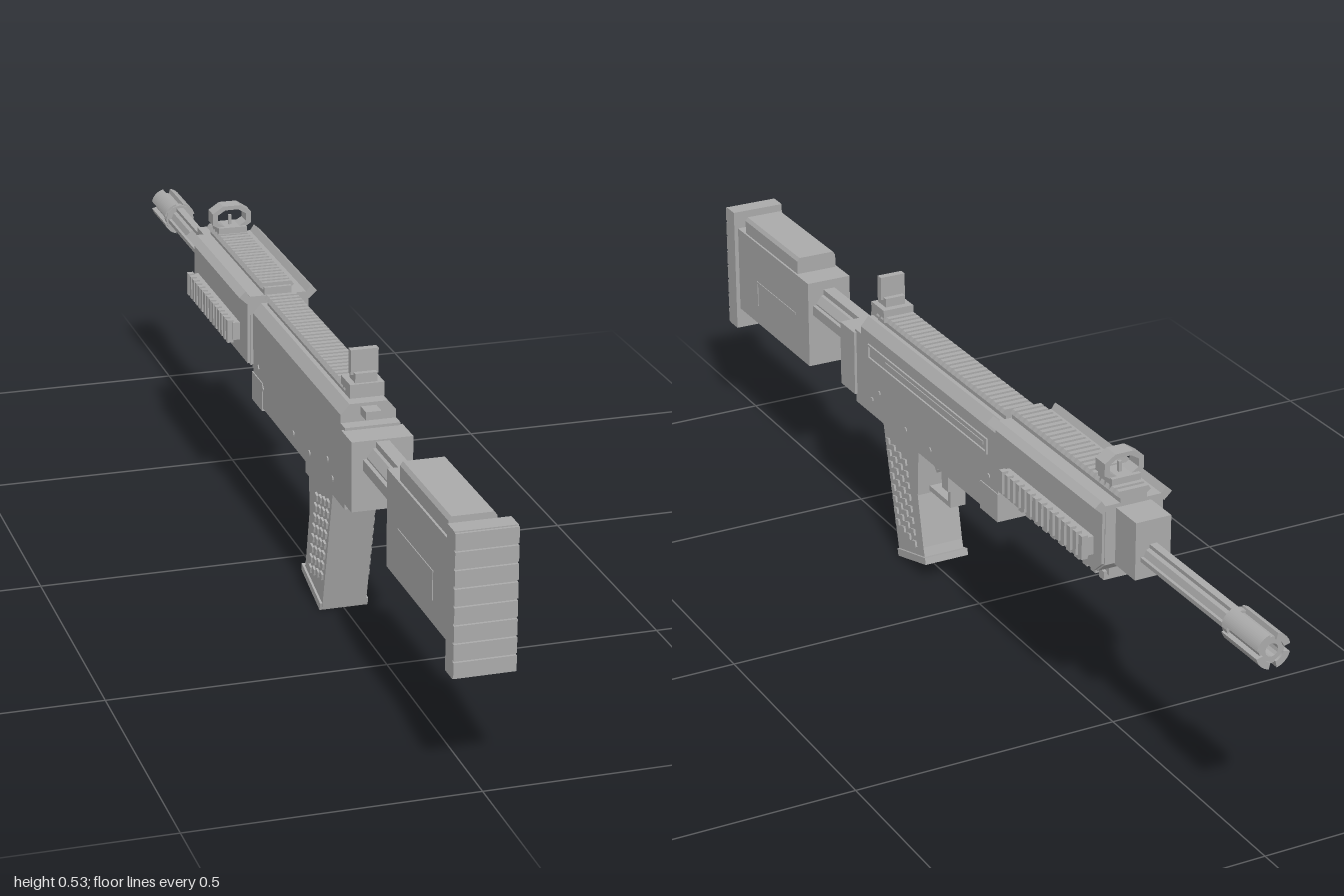
import * as THREE from 'three';
import { toCreasedNormals } from 'three/addons/utils/BufferGeometryUtils.js';

export function createModel() {
  const root = new THREE.Group();
  const grey = new THREE.MeshStandardMaterial({ color: 0xaaaaaa });
  grey.name = 'gunmetal grey';

  const add = (name, geo, parent = root) => {
    const m = new THREE.Mesh(geo, grey);
    m.name = name;
    parent.add(m);
    return m;
  };
  const group = (name) => {
    const g = new THREE.Group();
    g.name = name;
    root.add(g);
    return g;
  };
  // Box given by its limits on each axis
  const box = (name, x0, x1, y0, y1, z0, z1, parent) => add(name,
    new THREE.BoxGeometry(x1 - x0, y1 - y0, z1 - z0)
      .translate((x0 + x1) / 2, (y0 + y1) / 2, (z0 + z1) / 2), parent);
  const slab = (name, w, y0, y1, z0, z1, parent) => box(name, -w, w, y0, y1, z0, z1, parent);
  const shapeOf = (pts) => new THREE.Shape(pts.map(p => new THREE.Vector2(...p)));
  // Cross-section in (x, y) swept along z
  const sweepZ = (name, shape, z0, z1, parent) => add(name,
    new THREE.ExtrudeGeometry(shape, { depth: z1 - z0, bevelEnabled: false, curveSegments: 6 })
      .translate(0, 0, z0), parent);
  // Side profile in (z, y) swept across x
  const sweepX = (name, pts, w, parent) => add(name,
    new THREE.ExtrudeGeometry(shapeOf(pts), { depth: 2 * w, bevelEnabled: false })
      .translate(0, 0, -w).rotateY(-Math.PI / 2), parent);
  const rod = (name, r, y, z0, z1, sides, parent) => add(name,
    toCreasedNormals(new THREE.CylinderGeometry(r, r, z1 - z0, sides)
      .rotateX(Math.PI / 2).translate(0, y, (z0 + z1) / 2), 0.3), parent);
  const sides = [-1, 1];

  // Shoulder stock
  const stock = group('stock');
  slab('stockBody', 0.045, 0.245, 0.42, 0.63, 0.965, stock);
  sweepZ('cheekRest', shapeOf([[-0.041, 0.419], [0.041, 0.419], [0.041, 0.446], [0.036, 0.453],
    [-0.036, 0.453], [-0.041, 0.446]]), 0.685, 0.93, stock);
  slab('buttPlate', 0.053, 0.203, 0.455, 0.96, 0.995, stock);
  for (let i = 0; i < 8; i++) {
    const y = 0.203 + i * 0.0315;
    slab('buttRib', 0.053, y + 0.002, y + 0.0295, 0.994, 1, stock);
  }
  for (const s of sides) {
    box('stockSeam', s * 0.0455 - 0.001, s * 0.0455 + 0.001, 0.333, 0.337, 0.69, 0.87, stock);
    box('stockSeamEnd', s * 0.0455 - 0.001, s * 0.0455 + 0.001, 0.285, 0.337, 0.868, 0.872, stock);
  }

  // Ribbed tube between stock and receiver
  const tube = group('bufferTube');
  rod('tubeCore', 0.029, 0.366, 0.45, 0.65, 10, tube);
  slab('tubeLowerRib', 0.016, 0.335, 0.35, 0.45, 0.65, tube);
  slab('tubeUpperRib', 0.012, 0.385, 0.402, 0.45, 0.65, tube);
  for (const s of sides) box('tubeSideRib', s * 0.028 - 0.007, s * 0.028 + 0.007, 0.352, 0.372, 0.45, 0.65, tube);

  // Receiver
  const receiver = group('receiver');
  slab('rearBlock', 0.055, 0.277, 0.405, 0.405, 0.465, receiver);
  sweepZ('receiverBody', shapeOf([[-0.05, 0.26], [0.05, 0.26], [0.05, 0.425], [0.034, 0.443],
    [-0.034, 0.443], [-0.05, 0.425]]), -0.165, 0.385, receiver);
  slab('receiverStep', 0.05, 0.26, 0.41, 0.38, 0.41, receiver);
  slab('frontLug', 0.052, 0.255, 0.31, -0.168, -0.1, receiver);
  slab('latch', 0.014, 0.422, 0.437, 0.37, 0.415, receiver);
  // Charging track on the left flank
  for (const y of [0.374, 0.4]) box('trackRail', 0.049, 0.0535, y - 0.002, y + 0.002, -0.125, 0.35, receiver);
  for (const z of [-0.125, 0.35]) box('trackEnd', 0.049, 0.0535, 0.372, 0.402, z - 0.002, z + 0.002, receiver);
  box('trackBar', 0.049, 0.052, 0.384, 0.391, -0.11, 0.28, receiver);
  // Cross pins
  for (const [z, y] of [[0.34, 0.29], [0.31, 0.315], [0.2, 0.285], [0.1, 0.285], [-0.1, 0.3], [-0.13, 0.33]]) {
    add('crossPin', toCreasedNormals(new THREE.CylinderGeometry(0.006, 0.006, 0.104, 8)
      .rotateZ(Math.PI / 2).translate(0, y, z), 0.3), receiver);
  }

  // Toothed top rails
  const topRail = (name, y, z0, z1, count) => {
    const g = group(name);
    slab('railBase', 0.026, y - 0.022, y - 0.007, z0, z1, g);
    const pitch = (z1 - z0) / count;
    for (let i = 0; i < count; i++) {
      const z = z0 + i * pitch;
      sweepZ('railTooth', shapeOf([[-0.026, y - 0.013], [0.026, y - 0.013], [0.033, y - 0.007],
        [0.028, y], [-0.028, y], [-0.033, y - 0.007]]), z, z + pitch * 0.58, g);
    }
  };
  topRail('receiverRail', 0.464, -0.15, 0.36, 30);
  topRail('handguardRail', 0.477, -0.555, -0.172, 23);

  // Handguard
  const guard = group('handguard');
  sweepX('handguardBody', [[-0.17, 0.323], [-0.53, 0.323], [-0.555, 0.345], [-0.555, 0.456],
    [-0.17, 0.456]], 0.054, guard);
  for (const s of sides) {
    sweepX('sidePanel', [[-0.172, 0.325], [-0.528, 0.325], [-0.553, 0.347], [-0.553, 0.452],
      [-0.172, 0.452]], 0.003, guard).position.x = s * 0.056;
    // Flared upper lip
    const lip = [[0.05, 0.449], [0.06, 0.442], [0.075, 0.456], [0.062, 0.467]].map(([x, y]) => [s * x, y]);
    sweepZ('flaredLip', shapeOf(lip), -0.555, -0.17, guard);
    // Side rail with teeth
    box('sideRailStem', s * 0.064 - 0.008, s * 0.064 + 0.008, 0.354, 0.388, -0.525, -0.225, guard);
    for (let i = 0; i < 15; i++) {
      const z = -0.525 + i * 0.0203;
      box('sideRailTooth', s * 0.076 - 0.006, s * 0.076 + 0.006, 0.348, 0.392, z, z + 0.012, guard);
    }
  }
  // Lower rail with teeth
  slab('lowerRailBase', 0.028, 0.306, 0.326, -0.525, -0.2, guard);
  for (let i = 0; i < 11; i++) {
    const z = -0.518 + i * 0.029;
    slab('lowerRailTooth', 0.034, 0.295, 0.311, z, z + 0.016, guard);
  }
  slab('frontCap', 0.034, 0.342, 0.449, -0.622, -0.55, guard);

  // Barrel and slotted muzzle
  const barrel = group('barrel');
  rod('barrelTube', 0.019, 0.381, -0.9, -0.6, 8, barrel);
  slab('barrelTopRib', 0.007, 0.396, 0.404, -0.89, -0.61, barrel);
  for (const s of sides) box('barrelSideRib', s * 0.02 - 0.004, s * 0.02 + 0.004, 0.375, 0.383, -0.89, -0.61, barrel);
  const ring = new THREE.Shape().absarc(0, 0, 0.024, 0, Math.PI * 2, false);
  ring.holes.push(new THREE.Path().absarc(0, 0, 0.012, 0, Math.PI * 2, true));
  sweepZ('muzzleCore', ring, -0.995, -0.89, barrel).position.y = 0.381;
  rod('muzzleCollar', 0.029, 0.381, -0.905, -0.89, 12, barrel);
  for (let i = 0; i < 4; i++) {
    const a = Math.PI / 4 + i * Math.PI / 2;
    const prong = new THREE.Shape().absarc(0, 0, 0.032, a - 0.55, a + 0.55, false);
    prong.absarc(0, 0, 0.02, a + 0.55, a - 0.55, true);
    sweepZ('muzzleProng', prong, -1, -0.893, barrel).position.y = 0.381;
  }

  // Rear sight
  const rear = group('rearSight');
  slab('rearSightBase', 0.031, 0.45, 0.475, 0.325, 0.378, rear);
  slab('rearSightHinge', 0.02, 0.474, 0.492, 0.338, 0.372, rear);
  slab('rearSightPlate', 0.025, 0.487, 0.532, 0.348, 0.362, rear);

  // Front sight with faceted hood
  const front = group('frontSight');
  slab('frontSightBase', 0.028, 0.468, 0.489, -0.53, -0.482, front);
  const octagon = (w, h, P) => {
    const c = 0.45;
    return new P([[1, -c], [1, c], [c, 1], [-c, 1], [-1, c], [-1, -c], [-c, -1], [c, -1]]
      .map(([x, y]) => new THREE.Vector2(x * w, 0.505 + y * h)));
  };
  const hood = octagon(0.038, 0.025, THREE.Shape);
  hood.holes.push(octagon(0.028, 0.017, THREE.Path));
  sweepZ('frontSightHood', hood, -0.522, -0.49, front);
  slab('frontSightPost', 0.003, 0.485, 0.508, -0.509, -0.503, front);

  // Raked pistol grip with raised studs
  const grip = group('pistolGrip');
  sweepX('gripBody', [[0.249, 0.004], [0.14, 0.034], [0.148, 0.06], [0.19, 0.16], [0.165, 0.265],
    [0.315, 0.265]].map(([z, y], i) => (i === 3 ? [0.17, 0.16] : [z, y])), 0.041, grip);
  sweepX('gripBasePlate', [[0.246, 0], [0.131, 0.032], [0.134, 0.045], [0.25, 0.014]], 0.045, grip);
  for (const s of sides) {
    for (let r = 0; r < 8; r++) {
      for (let c = 0; c < 4; c++) {
        const stud = box('gripStud', -0.003, 0.003, -0.006, 0.006, -0.0065, 0.0065, grip);
        const y = 0.062 + r * 0.022 + (1.5 - c) * -0.005;
        stud.position.set(s * 0.042, y, 0.183 + c * 0.022 + (y - 0.062) * 0.25);
        stud.rotation.x = 0.25;
      }
    }
  }

  // Trigger and its guard
  const trigger = group('triggerGroup');
  sweepX('trigger', [[0.175, 0.265], [0.168, 0.225], [0.152, 0.208], [0.148, 0.216], [0.157, 0.232],
    [0.155, 0.265]], 0.01, trigger);
  slab('guardBottom', 0.016, 0.165, 0.175, 0.085, 0.18, trigger);
  slab('guardPost', 0.016, 0.165, 0.21, 0.085, 0.095, trigger);
  slab('magazineRelease', 0.022, 0.2, 0.262, 0.082, 0.108, trigger);

  return root;
}
